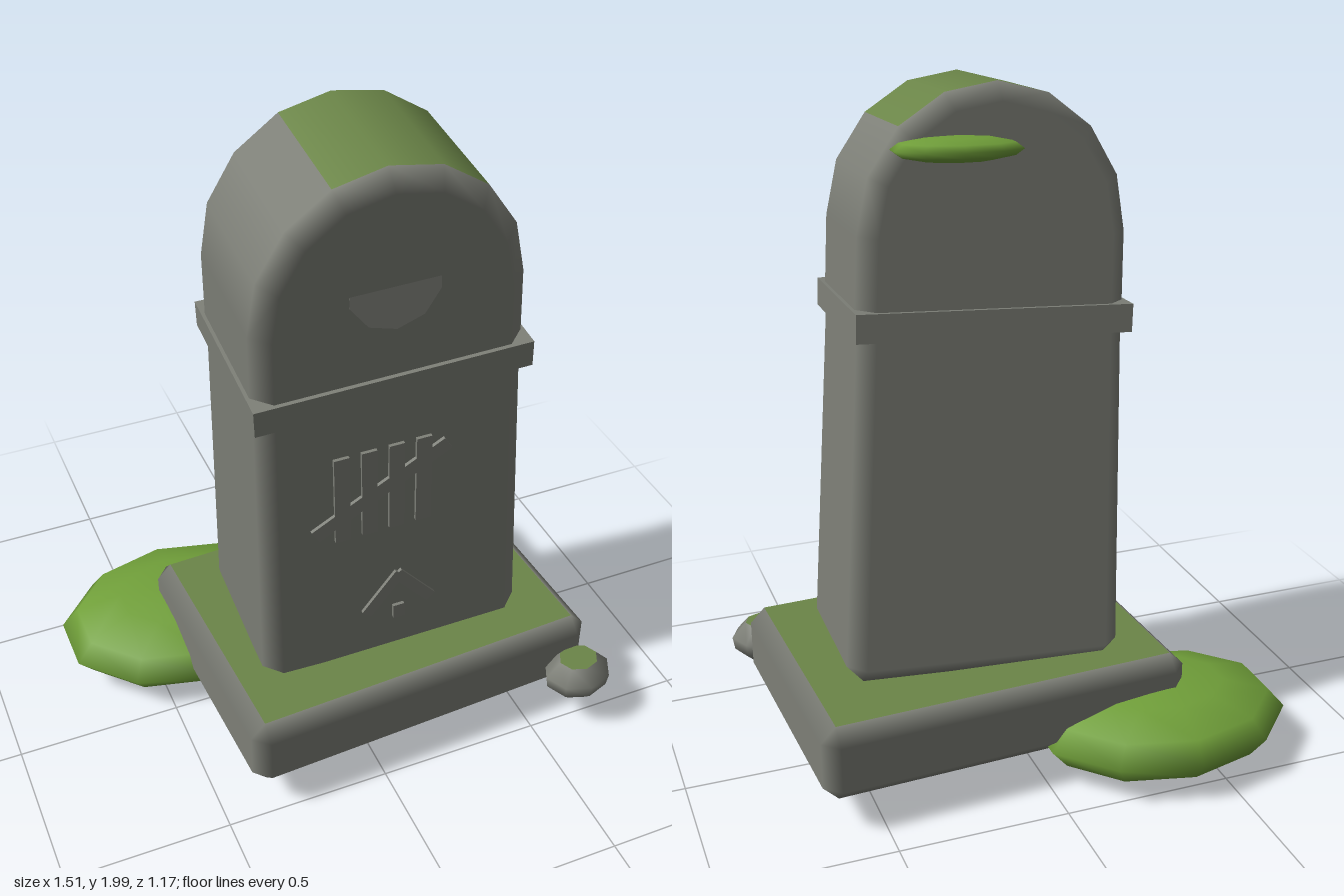
import * as THREE from 'three';

const stone = new THREE.MeshStandardMaterial({ color: 0x7d7f77 });
stone.name = 'stone';
const moss = new THREE.MeshStandardMaterial({ color: 0x6b8548 });
moss.name = 'moss';
const leaf = new THREE.MeshStandardMaterial({ color: 0x71a03a });
leaf.name = 'leaf';

// Builds a convex solid from polygons of { p, n } corners; each polygon is turned to face away from the centre.
// Polygons marked mossy go into the second material group.
function convexSolid(faces, centre) {
  const pos = [], nor = [];
  const sorted = [...faces.filter((f) => !f.mossy), ...faces.filter((f) => f.mossy)];
  let split = 0;
  for (const { v, mossy } of sorted) {
    for (let i = 1; i < v.length - 1; i++) {
      let tri = [v[0], v[i], v[i + 1]];
      const [a, b, c] = tri.map((k) => k.p);
      const cross = b.clone().sub(a).cross(c.clone().sub(a));
      if (cross.dot(a.clone().add(b).add(c).divideScalar(3).sub(centre)) < 0) tri = [v[0], v[i + 1], v[i]];
      for (const { p, n } of tri) {
        pos.push(p.x, p.y, p.z);
        nor.push(n.x, n.y, n.z);
      }
    }
    if (!mossy) split = pos.length / 3;
  }
  const g = new THREE.BufferGeometry();
  g.setAttribute('position', new THREE.Float32BufferAttribute(pos, 3));
  g.setAttribute('normal', new THREE.Float32BufferAttribute(nor, 3));
  g.addGroup(0, split, 0);
  if (pos.length / 3 > split) g.addGroup(split, pos.length / 3 - split, 1);
  return g;
}

// Chamfered box with flat faces and softly shaded chamfers; taper narrows the top.
function bevelBox(w, h, d, b, { mossyTop = false, taper = 0 } = {}) {
  const half = [w / 2, h / 2, d / 2];
  const corner = (axis, s) => {
    const p = half.map((k, i) => s[i] * (i === axis ? k : k - b));
    const n = [0, 0, 0];
    n[axis] = s[axis];
    const k = 1 - taper * (p[1] / h + 0.5);
    return { p: new THREE.Vector3(p[0] * k, p[1], p[2] * k), n: new THREE.Vector3(...n) };
  };
  const signs = (i, si, j, sj, k, sk) => {
    const s = [0, 0, 0];
    s[i] = si; s[j] = sj; s[k] = sk;
    return s;
  };
  const faces = [];
  for (let a = 0; a < 3; a++) {
    const e = (a + 1) % 3, f = (a + 2) % 3;
    for (const s of [-1, 1]) {
      faces.push({
        v: [[-1, -1], [1, -1], [1, 1], [-1, 1]].map(([t, u]) => corner(a, signs(a, s, e, t, f, u))),
        mossy: mossyTop && a === 1 && s === 1,
      });
      for (const t of [-1, 1]) {
        const lo = signs(a, s, e, t, f, -1), hi = signs(a, s, e, t, f, 1);
        faces.push({ v: [corner(a, lo), corner(a, hi), corner(e, hi), corner(e, lo)] });
      }
    }
  }
  for (const x of [-1, 1]) for (const y of [-1, 1]) for (const z of [-1, 1])
    faces.push({ v: [0, 1, 2].map((a) => corner(a, [x, y, z])) });
  return convexSolid(faces, new THREE.Vector3());
}

// Round-topped head with chamfered front and back rims and moss on the crown.
function archHead(rx, ry, spring, depth, b) {
  const outline = [{ x: -rx - 0.005, y: 0, nx: -1, ny: 0 }];
  for (let i = 0; i <= 8; i++) {
    const t = Math.PI * (1 - i / 8), c = Math.cos(t), s = Math.sin(t);
    outline.push({ x: rx * c, y: spring + ry * s, nx: c, ny: s });
  }
  outline.push({ x: rx + 0.005, y: 0, nx: 1, ny: 0 });
  const outer = (o, side) => ({
    p: new THREE.Vector3(o.x, o.y, side * (depth / 2 - b)),
    n: new THREE.Vector3(o.nx, o.ny, 0),
  });
  const inner = (o, side) => ({
    p: new THREE.Vector3(o.x - o.nx * b, o.y - o.ny * b, side * depth / 2),
    n: new THREE.Vector3(0, 0, side),
  });
  const faces = [-1, 1].map((side) => ({ v: outline.map((o) => inner(o, side)) }));
  for (let i = 0; i < outline.length - 1; i++) {
    const p = outline[i], q = outline[i + 1];
    faces.push({ v: [outer(p, -1), outer(q, -1), outer(q, 1), outer(p, 1)], mossy: i >= 4 && i <= 6 });
    for (const side of [-1, 1])
      faces.push({ v: [outer(p, side), outer(q, side), inner(q, side), inner(p, side)] });
  }
  return convexSolid(faces, new THREE.Vector3(0, spring, 0));
}

function add(parent, name, geometry, material, x = 0, y = 0, z = 0) {
  const m = new THREE.Mesh(geometry, material);
  m.name = name;
  m.position.set(x, y, z);
  parent.add(m);
  return m;
}

// Flattened low-poly clump of leaves
function clump(parent, name, rx, ry, rz, x, y, z) {
  const g = new THREE.SphereGeometry(1, 10, 6).rotateY(Math.PI / 10).scale(rx, ry, rz);
  return add(parent, name, g, leaf, x, y, z);
}

export function createModel() {
  const model = new THREE.Group();
  model.name = 'gravestone';

  // Base slab
  const slab = add(model, 'baseSlab', bevelBox(1.12, 0.23, 0.84, 0.045, { mossyTop: true }), [stone, moss], 0.13, 0.215, 0.055);
  slab.rotation.y = 0.05;

  // Leaning pillar
  const pillar = new THREE.Group();
  pillar.name = 'leaningPillar';
  pillar.position.set(0.128, 0.31, 0.04);
  pillar.rotation.set(0.067, -0.04, 0.055);
  model.add(pillar);
  add(pillar, 'shaft', bevelBox(0.82, 1.06, 0.53, 0.05, { taper: 0.08 }), [stone], 0, 0.53, 0);
  add(pillar, 'band', new THREE.BoxGeometry(0.785, 0.08, 0.51), stone, 0, 1.035, 0);
  add(pillar, 'head', archHead(0.378, 0.405, 0.22, 0.485, 0.05), [stone, moss], 0, 1.05, 0);

  // Tilted disc on the head, only its lower rim standing out
  const disc = add(pillar, 'headDisc', new THREE.CylinderGeometry(0.13, 0.13, 0.03, 10).rotateX(Math.PI / 2), stone, 0, 1.36, 0.227);
  disc.rotation.x = -0.1;

  // Marks on the shaft front, following its taper
  const marks = new THREE.Group();
  marks.name = 'frontMarks';
  marks.position.z = 0.265;
  marks.rotation.x = -0.02;
  pillar.add(marks);
  const bar = (name, w, h, x, y, turn = 0) => {
    add(marks, name, new THREE.BoxGeometry(w, h, 0.02), stone, x, y, 0).rotation.z = turn;
  };
  for (let i = 0; i < 4; i++) bar('tallyBar', 0.045, 0.3, -0.16 + i * 0.08, 0.69, -0.01);
  bar('tallySlash', 0.45, 0.045, -0.045, 0.69, 0.5);
  for (const s of [-1, 1]) bar('chevronLeg', 0.17, 0.035, 0.005 + s * 0.048, 0.28, -s * 0.9);
  bar('chevronDot', 0.035, 0.05, 0.005, 0.19);

  // Leaf clumps
  clump(model, 'groundClump', 0.397, 0.122, 0.305, -0.378, 0.122, -0.28);
  clump(model, 'headClump', 0.185, 0.035, 0.085, 0.178, 1.832, -0.108).rotation.set(0.05, -0.05, 0.03);

  // Small rock with a mossy top
  const rock = new THREE.Group();
  rock.name = 'rock';
  rock.position.set(0.647, 0.177, 0.495);
  model.add(rock);
  const profile = [[0, -0.062], [0.065, -0.058], [0.1, -0.025], [0.107, 0.015], [0.062, 0.062]];
  const body = new THREE.LatheGeometry(profile.map(([x, y]) => new THREE.Vector2(x, y)), 8);
  add(rock, 'rockBody', body.scale(1, 1, 0.85), stone);
  add(rock, 'rockMoss', new THREE.CircleGeometry(0.062, 8).rotateX(-Math.PI / 2).scale(1, 1, 0.85), moss, 0, 0.062, 0);

  return model;
}
